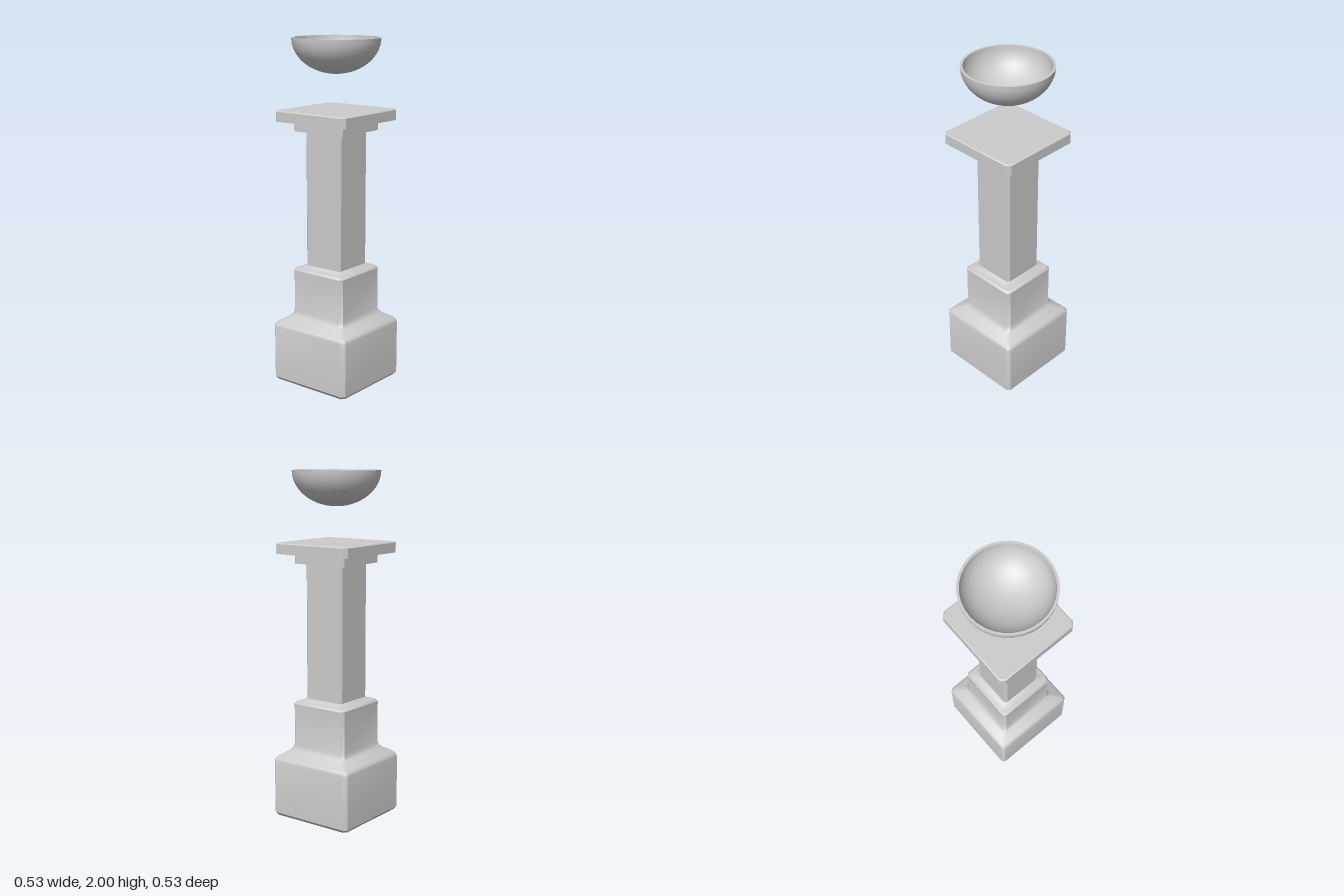
import * as THREE from 'three';
import { toCreasedNormals } from 'three/addons/utils/BufferGeometryUtils.js';

const material = new THREE.MeshStandardMaterial({ color: 0xcccccc });

// Loft of square sections with cut corners; profile rows are [halfWidth, y], bottom to top
function squareLoft(name, profile, cut) {
  const pos = [], idx = [];
  for (const [h, y] of profile) {
    const k = h - cut;
    for (const [x, z] of [[h, -k], [h, k], [k, h], [-k, h], [-h, k], [-h, -k], [-k, -h], [k, -h]]) pos.push(x, y, z);
  }
  const last = (profile.length - 1) * 8;
  for (let r = 0; r < last; r += 8) {
    for (let i = 0; i < 8; i++) {
      const a = r + i, b = r + (i + 1) % 8;
      idx.push(a, a + 8, b, b, a + 8, b + 8);
    }
  }
  // end caps
  for (let i = 1; i < 7; i++) {
    idx.push(0, i, i + 1);
    idx.push(last, last + i + 1, last + i);
  }
  const geometry = new THREE.BufferGeometry();
  geometry.setAttribute('position', new THREE.Float32BufferAttribute(pos, 3));
  geometry.setIndex(idx);
  const mesh = new THREE.Mesh(toCreasedNormals(geometry, 0.6), material);
  mesh.name = name;
  return mesh;
}

// Open bowl: outer shell, flat rim, inner shell
function bowl() {
  const points = [], steps = 14, top = 2;
  for (let i = 0; i <= steps; i++) {
    const t = (i / steps) * Math.PI / 2;
    points.push(new THREE.Vector2(0.25 * Math.sin(t), top - 0.2 * Math.cos(t)));
  }
  for (let i = steps; i >= 0; i--) {
    const t = (i / steps) * Math.PI / 2;
    points.push(new THREE.Vector2(0.236 * Math.sin(t), top - 0.187 * Math.cos(t)));
  }
  const geometry = toCreasedNormals(new THREE.LatheGeometry(points, 32), 0.6);
  const mesh = new THREE.Mesh(geometry, material);
  mesh.name = 'bowl';
  return mesh;
}

export function createModel() {
  const model = new THREE.Group();
  model.name = 'pedestal';
  model.add(
    // plinth with a soft shoulder and a bevelled upper block
    squareLoft('base', [
      [0.25, 0], [0.264, 0.018], [0.264, 0.33], [0.26, 0.345], [0.245, 0.36],
      [0.205, 0.385], [0.19, 0.4], [0.18, 0.425], [0.18, 0.67], [0.17, 0.682], [0.145, 0.685], [0.127, 0.7],
    ], 0.017),
    squareLoft('column', [[0.126, 0.68], [0.126, 1.49]], 0.014),
    // stepped capital
    squareLoft('collar', [[0.174, 1.482], [0.174, 1.53]], 0.016),
    squareLoft('neck', [[0.2, 1.53], [0.2, 1.542]], 0.016),
    squareLoft('topSlab', [[0.25, 1.538], [0.25, 1.594], [0.244, 1.6]], 0.022),
    bowl(),
  );
  return model;
}
